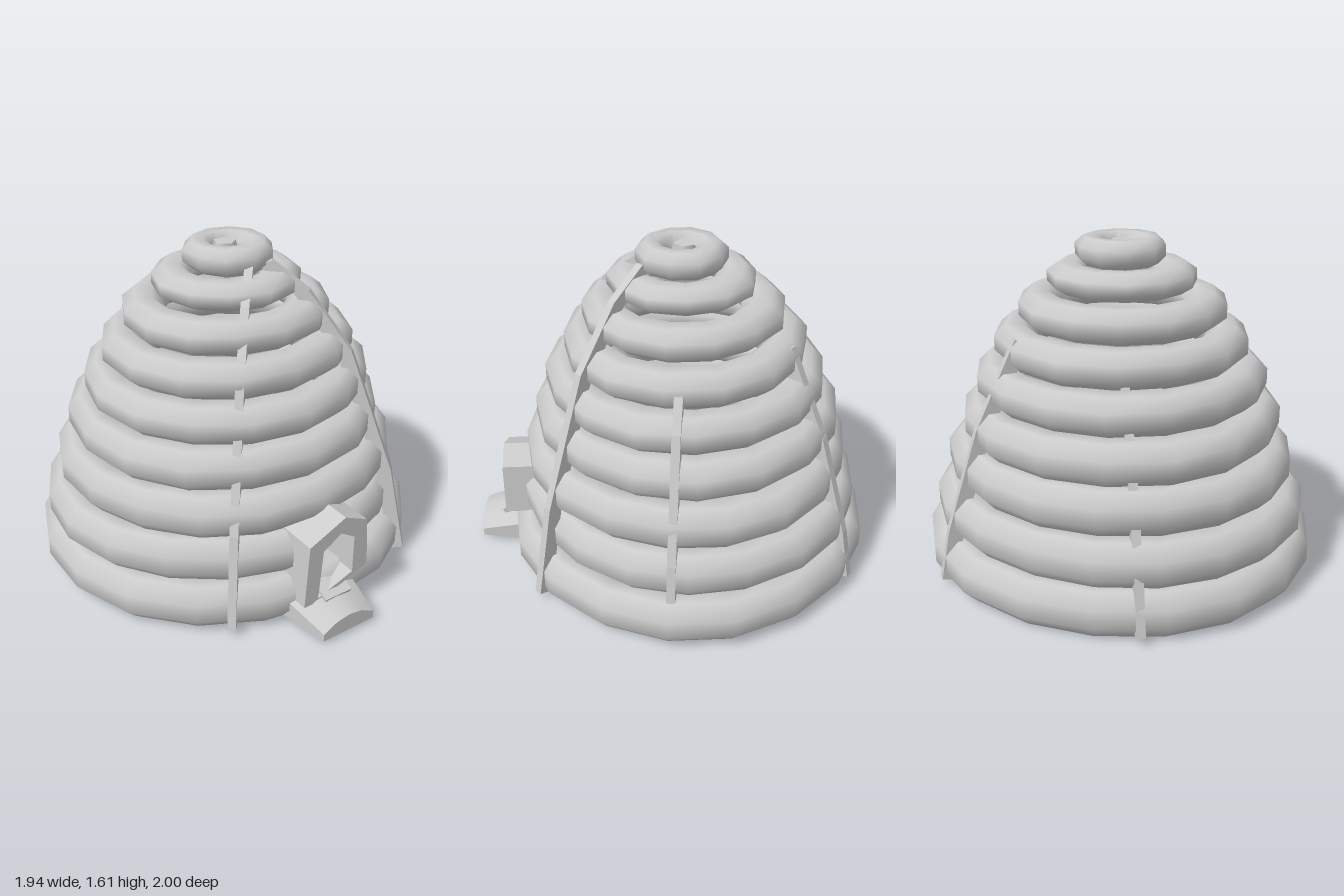
import * as THREE from 'three';

const material = new THREE.MeshStandardMaterial({ color: 0xcccccc, side: THREE.DoubleSide });

function addMesh(parent, name, geometry) {
  const mesh = new THREE.Mesh(geometry, material);
  mesh.name = name;
  parent.add(mesh);
  return mesh;
}

// Slightly uneven straw coil: octagonal section swept round an ellipse, optionally leaving a gap at the front
function coilGeometry({ y0, y1, x0, x1, z0, z1, half, segs, gap = 0, seed }) {
  const sides = 8, pos = [], index = [];
  const cx = (x0 + x1) / 2, cz = (z0 + z1) / 2;
  const rx = (x1 - x0) / 2 - half, rz = (z1 - z0) / 2 - half;
  const cols = gap ? segs + 1 : segs;
  for (let i = 0; i < cols; i++) {
    const t = gap + (i / segs) * (Math.PI * 2 - 2 * gap);
    const lump = 1 + 0.05 * Math.sin(5 * t + seed * 2.1) + 0.04 * Math.sin(3 * t + seed);
    for (let j = 0; j < sides; j++) {
      const p = ((j + 0.5) / sides) * Math.PI * 2;
      const out = half * 1.08 * Math.cos(p) * lump;
      const y = (y0 + y1) / 2 + ((y1 - y0) / 2) * 1.08 * Math.sin(p);
      pos.push(cx + (rx + out) * Math.sin(t), y, cz + (rz + out) * Math.cos(t));
    }
  }
  for (let i = 0; i < segs; i++) {
    for (let j = 0; j < sides; j++) {
      const n = (i + 1) % cols, k = (j + 1) % sides;
      const a = i * sides + j, b = n * sides + j, c = n * sides + k, d = i * sides + k;
      index.push(a, b, c, a, c, d);
    }
  }
  const g = new THREE.BufferGeometry();
  g.setAttribute('position', new THREE.Float32BufferAttribute(pos, 3));
  g.setIndex(index);
  g.computeVertexNormals();
  return g;
}

// Thin binding strip lying over the coils; profile is [fraction from base to top, height]
function addTie(parent, name, base, top, profile, width = 0.04) {
  const dx = base[0] - top[0], dz = base[1] - top[1], len = Math.hypot(dx, dz);
  const outer = profile.map(([f, y]) => new THREE.Vector2((1 - f) * len, y));
  const inner = outer.map((p) => new THREE.Vector2(p.x - 0.07, p.y - 0.02)).reverse();
  const g = new THREE.ExtrudeGeometry(new THREE.Shape([...outer, ...inner]), { depth: width, bevelEnabled: false });
  g.translate(0, 0, -width / 2);
  const mesh = addMesh(parent, name, g);
  mesh.position.set(top[0], 0, top[1]);
  mesh.rotation.y = Math.atan2(-dz, dx);
}

function polygon(points, Type = THREE.Shape) {
  return new Type(points.map(([x, y]) => new THREE.Vector2(x, y)));
}

export function createModel() {
  const hive = new THREE.Group();
  hive.name = 'strawBeehive';

  // Stacked coils: y0, y1, x0, x1, z0, z1, half width, segments
  const coils = new THREE.Group();
  coils.name = 'coils';
  hive.add(coils);
  [
    [0.01, 0.235, -0.99, 0.98, -1.0, 0.83, 0.1, 18],
    [0.23, 0.45, -0.95, 0.91, -0.95, 0.76, 0.1, 18],
    [0.45, 0.665, -0.88, 0.85, -0.89, 0.74, 0.1, 18],
    [0.66, 0.86, -0.81, 0.77, -0.84, 0.68, 0.1, 16],
    [0.86, 1.045, -0.73, 0.7, -0.76, 0.62, 0.1, 16],
    [1.04, 1.215, -0.64, 0.61, -0.66, 0.53, 0.1, 14],
    [1.21, 1.37, -0.53, 0.49, -0.55, 0.43, 0.1, 14],
    [1.37, 1.5, -0.38, 0.34, -0.41, 0.3, 0.095, 12],
    [1.49, 1.62, -0.23, 0.21, -0.27, 0.17, 0.07, 10],
  ].forEach(([y0, y1, x0, x1, z0, z1, half, segs], i) => {
    const gap = i === 1 ? 0.18 : 0;
    addMesh(coils, `coil${i + 1}`, coilGeometry({ y0, y1, x0, x1, z0, z1, half, segs, gap, seed: i }));
  });

  // Small plug in the crown
  const plug = addMesh(hive, 'crownPlug', new THREE.CylinderGeometry(0.055, 0.075, 0.09, 5));
  plug.position.set(-0.02, 1.56, -0.065);

  // Binding strips
  const ties = new THREE.Group();
  ties.name = 'ties';
  hive.add(ties);
  const longRun = [[0, 0.05], [0.13, 0.5], [0.45, 1.13], [0.75, 1.42], [1, 1.55]];
  const backRun = [[0, 0.05], [0.12, 0.3], [0.5, 0.78], [1, 1.2]];
  addTie(ties, 'frontLeftTie', [0.59, 0.68], [0.1, 0.15], longRun);
  addTie(ties, 'frontRightTie', [-0.51, 0.72], [-0.03, 0.15], longRun);
  addTie(ties, 'backLeftTie', [0.54, -0.86], [0.28, -0.55], backRun);
  addTie(ties, 'backRightTie', [-0.54, -0.86], [-0.25, -0.49], backRun);
  addTie(ties, 'leftTie', [0.91, 0.05], [0.61, 0.0], [[0, 0.24], [0.1, 0.42], [0.7, 1.0], [1, 1.14]]);

  // Pointed doorway with a short tunnel through the wall
  const arch = polygon([[-0.2, 0.13], [-0.12, 0.13], [0.09, 0.2], [0.17, 0.23], [0.15, 0.49], [0.02, 0.55], [-0.18, 0.46]]);
  arch.holes.push(polygon([[-0.12, 0.15], [0.08, 0.22], [0.08, 0.42], [0.0, 0.47], [-0.1, 0.41]], THREE.Path));
  const door = addMesh(hive, 'doorFrame', new THREE.ExtrudeGeometry(arch, { depth: 0.32, bevelEnabled: false }));
  door.position.z = 0.54;

  // Landing board: narrows to the front, its sides drop, its back rises to the doorway
  const board = new THREE.BoxGeometry(0.38, 0.09, 0.25, 4, 1, 2);
  const p = board.attributes.position;
  for (let i = 0; i < p.count; i++) {
    const x = p.getX(i), y = p.getY(i), forward = p.getZ(i) / 0.25 + 0.5;
    if (y > 0) p.setY(i, y - 1.4 * x * x + 0.06 * (1 - forward));
    p.setX(i, x * (1 - 0.22 * forward));
  }
  board.computeVertexNormals();
  addMesh(hive, 'landingBoard', board).position.set(-0.045, 0.075, 0.875);

  // Sill sloping up into the doorway
  const sill = addMesh(hive, 'doorSill', new THREE.BoxGeometry(0.15, 0.06, 0.36, 1, 1, 2));
  sill.position.set(-0.025, 0.2, 0.72);
  sill.rotation.x = 0.42;

  return hive;
}
